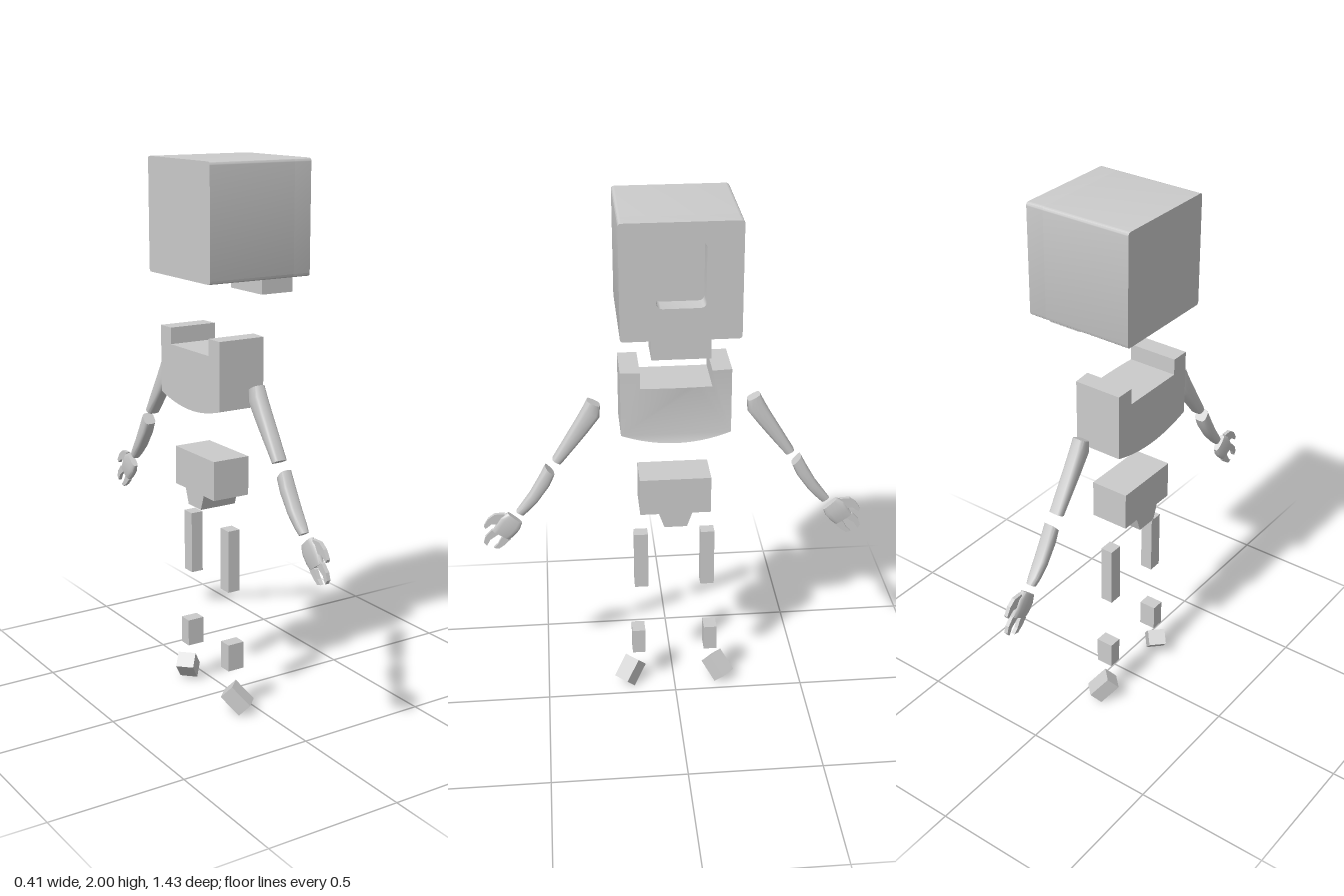
import * as THREE from 'three';
import { toCreasedNormals } from 'three/addons/utils/BufferGeometryUtils.js';

const material = new THREE.MeshStandardMaterial({ color: 0xcccccc });
const ARM_X = -0.075;

function add(parent, name, geometry) {
  const mesh = new THREE.Mesh(geometry, material);
  mesh.name = name;
  parent.add(mesh);
  return mesh;
}

// Box given by its limits on each axis
function box(x0, x1, y0, y1, z0, z1) {
  return new THREE.BoxGeometry(x1 - x0, y1 - y0, z1 - z0)
    .translate((x0 + x1) / 2, (y0 + y1) / 2, (z0 + z1) / 2);
}

// Outline drawn in the side plane, extruded along x
function extrudeX(shape, x0, x1) {
  return new THREE.ExtrudeGeometry(shape, { depth: x1 - x0, bevelEnabled: false, curveSegments: 6 })
    .rotateY(Math.PI / 2).translate(x0, 0, 0);
}

const outline = (points) => new THREE.Shape(points.map(([z, y]) => new THREE.Vector2(-z, y)));

function roundedRect(Type, cx, cy, w, h, r) {
  const s = new Type();
  const l = cx - w / 2, b = cy - h / 2, R = cx + w / 2, t = cy + h / 2;
  s.moveTo(l + r, b).lineTo(R - r, b).quadraticCurveTo(R, b, R, b + r);
  s.lineTo(R, t - r).quadraticCurveTo(R, t, R - r, t);
  s.lineTo(l + r, t).quadraticCurveTo(l, t, l, t - r);
  s.lineTo(l, b + r).quadraticCurveTo(l, b, l + r, b);
  return s;
}

// Limb through rounded cross-sections: [outer z, outer y, inner z, inner y, half width in x]
function limb(sections) {
  const N = 16, pos = [], index = [];
  const soft = (v) => Math.sign(v) * Math.pow(Math.abs(v), 0.6);
  for (const [zo, yo, zi, yi, hx] of sections) {
    for (let i = 0; i < N; i++) {
      const a = (i / N) * Math.PI * 2;
      const k = soft(Math.cos(a)) / 2;
      pos.push(ARM_X + hx * soft(Math.sin(a)), (yo + yi) / 2 + (yo - yi) * k, (zo + zi) / 2 + (zo - zi) * k);
    }
  }
  const last = (sections.length - 1) * N;
  for (let r = 0; r < last; r += N) {
    for (let i = 0; i < N; i++) {
      const j = (i + 1) % N;
      index.push(r + i, r + N + i, r + j, r + j, r + N + i, r + N + j);
    }
  }
  for (let i = 1; i < N - 1; i++) {
    index.push(0, i, i + 1, last, last + i + 1, last + i);
  }
  const g = new THREE.BufferGeometry();
  g.setAttribute('position', new THREE.Float32BufferAttribute(pos, 3));
  g.setIndex(index);
  return toCreasedNormals(g, 0.8);
}

function createHead() {
  const head = new THREE.Group();
  head.name = 'head';
  const square = () => roundedRect(THREE.Shape, 0, 1.798, 0.406, 0.404, 0.012);
  const depth = 0.135;
  add(head, 'skull', toCreasedNormals(extrudeX(square(), -0.205, depth), 0.6));
  // Face plate with the recessed window
  const face = square();
  face.holes.push(roundedRect(THREE.Path, 0, 1.82, 0.165, 0.224, 0.022));
  add(head, 'face', toCreasedNormals(extrudeX(face, depth, 0.203), 0.6));
  add(head, 'jaw', box(0.073, 0.203, 1.528, 1.6, -0.1, 0.1));
  return head;
}

function createTorso() {
  // U-shaped chest with a curved underside
  const w = 0.197, points = [[w, 1.4], [0.127, 1.4]];
  for (let i = 0; i <= 10; i++) points.push([0.127 - 0.0254 * i, 1.34]);
  points.push([-0.127, 1.4], [-w, 1.4]);
  for (let i = 0; i <= 16; i++) {
    const z = -w + (2 * w * i) / 16;
    points.push([z, 1.124 + 0.032 * (z / w) ** 2]);
  }
  const g = extrudeX(outline(points), -0.165, 0.015);
  // Gentle forward bulge of the chest
  const p = g.attributes.position;
  for (let i = 0; i < p.count; i++) {
    if (p.getX(i) > 0) p.setX(i, 0.015 + 0.011 * (1 - (p.getZ(i) / w) ** 2));
  }
  g.deleteAttribute('normal');
  return toCreasedNormals(g, 0.6);
}

function createArm(name) {
  const arm = new THREE.Group();
  arm.name = name;
  add(arm, 'upperArm', limb([
    [0.312, 1.262, 0.266, 1.238, 0.024],
    [0.328, 1.23, 0.268, 1.195, 0.026],
    [0.354, 1.183, 0.312, 1.137, 0.026],
    [0.4, 1.105, 0.362, 1.075, 0.026],
    [0.444, 1.03, 0.413, 1.013, 0.025],
  ]));
  add(arm, 'forearm', limb([
    [0.472, 1.003, 0.44, 0.965, 0.024],
    [0.497, 0.955, 0.459, 0.923, 0.025],
    [0.534, 0.89, 0.505, 0.858, 0.024],
    [0.57, 0.84, 0.54, 0.82, 0.02],
    [0.587, 0.817, 0.56, 0.8, 0.015],
  ]));
  add(arm, 'palm', limb([
    [0.618, 0.81, 0.568, 0.765, 0.012],
    [0.645, 0.795, 0.578, 0.738, 0.016],
    [0.664, 0.765, 0.6, 0.712, 0.015],
    [0.68, 0.738, 0.618, 0.697, 0.011],
  ]));
  // Thumb and two curved fingers
  const digits = {
    thumb: [[0.63, 0.808], [0.667, 0.808], [0.692, 0.79], [0.71, 0.76], [0.704, 0.749], [0.68, 0.768], [0.64, 0.765]],
    outerFinger: [[0.66, 0.745], [0.683, 0.74], [0.706, 0.715], [0.714, 0.69], [0.704, 0.675], [0.69, 0.7], [0.655, 0.725]],
    innerFinger: [[0.625, 0.72], [0.646, 0.708], [0.662, 0.68], [0.678, 0.664], [0.66, 0.66], [0.638, 0.675], [0.616, 0.697]],
  };
  for (const [digit, pts] of Object.entries(digits)) {
    add(arm, digit, extrudeX(outline(pts.slice().reverse()), ARM_X - 0.007, ARM_X + 0.007));
  }
  return arm;
}

function createLeg(name, side) {
  const leg = new THREE.Group();
  leg.name = name;
  const span = (a, b) => (side > 0 ? [a, b] : [-b, -a]);
  add(leg, 'thigh', box(-0.1, -0.053, 0.468, 0.7, ...span(0.1, 0.152)));
  add(leg, 'shin', box(-0.108, -0.042, 0.168, 0.27, ...span(0.115, 0.165)));
  // Foot turned outward with the toe pointing down
  const foot = new THREE.BoxGeometry(0.096, 0.06, 0.067)
    .rotateZ(-Math.PI / 4).rotateY(-side * Math.PI / 4);
  add(leg, 'foot', foot).position.set(-0.076, 0.06, side * 0.175);
  return leg;
}

export function createModel() {
  const model = new THREE.Group();
  model.name = 'blockFigure';
  model.add(createHead());
  add(model, 'torso', createTorso());

  // Pelvis with a tapered lower block
  add(model, 'pelvis', extrudeX(outline([
    [0.131, 0.96], [-0.131, 0.96], [-0.131, 0.817], [-0.062, 0.817],
    [-0.042, 0.76], [0.042, 0.76], [0.062, 0.817], [0.131, 0.817],
  ]), -0.147, -0.002));

  // The arms are symmetric in x, so a half turn gives the other one
  model.add(createArm('rightArm'));
  const otherArm = createArm('leftArm');
  otherArm.rotation.y = Math.PI;
  otherArm.position.x = 2 * ARM_X;
  model.add(otherArm);

  model.add(createLeg('rightLeg', 1), createLeg('leftLeg', -1));
  return model;
}
